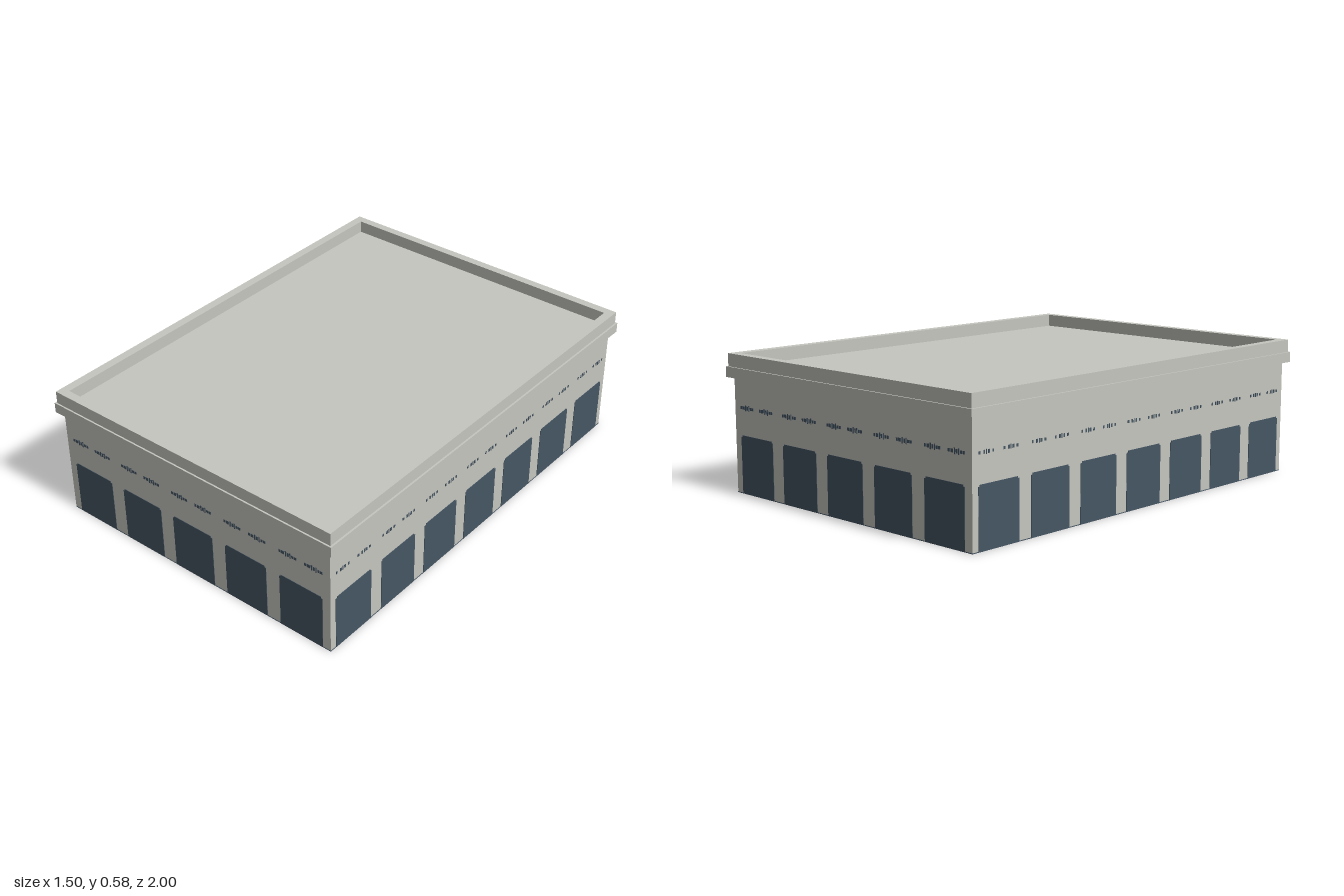
import * as THREE from 'three';

const mat = (name, color, side = THREE.FrontSide) => {
  const m = new THREE.MeshStandardMaterial({ color, side });
  m.name = name;
  return m;
};

// Half sizes of the wall block and the main heights
const HX = 0.69, HZ = 0.948, ROOF_Y = 0.526;

export function createModel() {
  const stone = mat('pale stone', 0xc6c6c0);
  const shell = mat('pale stone shell', 0xc6c6c0, THREE.DoubleSide);
  const glass = mat('slate blue glass', 0x465663);

  const model = new THREE.Group();
  model.name = 'building';
  const add = (parent, name, geometry, material, x = 0, y = 0, z = 0) => {
    const mesh = new THREE.Mesh(geometry, material);
    mesh.name = name;
    mesh.position.set(x, y, z);
    parent.add(mesh);
    return mesh;
  };

  // Rectangular ring lying flat, from y0 to y1
  const ring = (name, ox, oz, ix, iz, y0, y1) => {
    const rect = (P, x, z) => new P([[-x, -z], [x, -z], [x, z], [-x, z]]
      .map(([a, b]) => new THREE.Vector2(a, b)));
    const shape = rect(THREE.Shape, ox, oz);
    shape.holes.push(rect(THREE.Path, ix, iz));
    const g = new THREE.ExtrudeGeometry(shape, { depth: y1 - y0, bevelEnabled: false });
    g.rotateX(-Math.PI / 2);
    add(model, name, g, stone, 0, y0, 0);
  };

  // Tall opening with small stepped upper corners, thin enough to show on both wall faces
  const w = 0.104, h = 0.245, s = 0.007;
  const opening = new THREE.Shape([[-w, 0], [w, 0], [w, h - s], [w - s, h - s], [w - s, h],
    [s - w, h], [s - w, h - s], [-w, h - s]].map(([a, b]) => new THREE.Vector2(a, b)));
  const windowGeometry = new THREE.ExtrudeGeometry(opening, { depth: 0.004, bevelEnabled: false });
  windowGeometry.translate(0, 0, -0.002);

  // One wall with its row of windows and a frieze of small inlaid dashes
  const buildWall = (name, half, distance, angle, bays, pitch, dashes) => {
    const wall = new THREE.Group();
    wall.name = name;
    wall.rotation.y = angle;
    const face = new THREE.Group();
    face.position.z = distance;
    wall.add(face);
    add(face, 'wallPanel', new THREE.PlaneGeometry(half * 2, ROOF_Y), shell, 0, ROOF_Y / 2);
    add(face, 'baseLine', new THREE.BoxGeometry(half * 2, 0.003, 0.003), glass, 0, 0.0015);
    for (let i = 0; i < bays; i++) {
      const x = (i - (bays - 1) / 2) * pitch;
      add(face, 'window', windowGeometry, glass, x);
      for (const side of [-1, 1]) {
        for (const [dx, dw, dh] of dashes) {
          add(face, 'friezeDash', new THREE.BoxGeometry(dw, dh, 0.003), glass,
            x + side * 0.062 + dx, 0.36, 0);
        }
      }
    }
    model.add(wall);
  };

  // Offset, width and height of the dashes in one frieze cluster
  const dense = [[-0.037, 0.010, 0.012], [-0.022, 0.013, 0.014], [-0.008, 0.006, 0.024],
    [0.003, 0.008, 0.016], [0.013, 0.005, 0.024], [0.025, 0.010, 0.012], [0.038, 0.010, 0.012]];
  const sparse = [[-0.035, 0.008, 0.011], [-0.012, 0.008, 0.014], [0, 0.004, 0.018],
    [0.012, 0.008, 0.014], [0.033, 0.008, 0.011]];

  buildWall('frontWall', HX, HZ, 0, 5, 0.2745, dense);
  buildWall('backWall', HX, HZ, Math.PI, 5, 0.2745, dense);
  buildWall('leftWall', HZ, HX, Math.PI / 2, 7, 0.2715, sparse);
  buildWall('rightWall', HZ, HX, -Math.PI / 2, 7, 0.2715, sparse);

  // Projecting cornice, raised parapet and flat roof; the underside stays open
  ring('cornice', 0.714, 0.972, HX, HZ, 0.482, ROOF_Y);
  ring('parapet', 0.706, 0.965, 0.668, 0.928, ROOF_Y, 0.58);
  const roof = new THREE.PlaneGeometry(HX * 2, HZ * 2);
  roof.rotateX(-Math.PI / 2);
  add(model, 'roof', roof, shell, 0, ROOF_Y, 0);

  // The whole building stands slightly turned
  model.rotation.y = -0.039;
  const root = new THREE.Group();
  root.name = 'model';
  root.add(model);
  return root;
}
